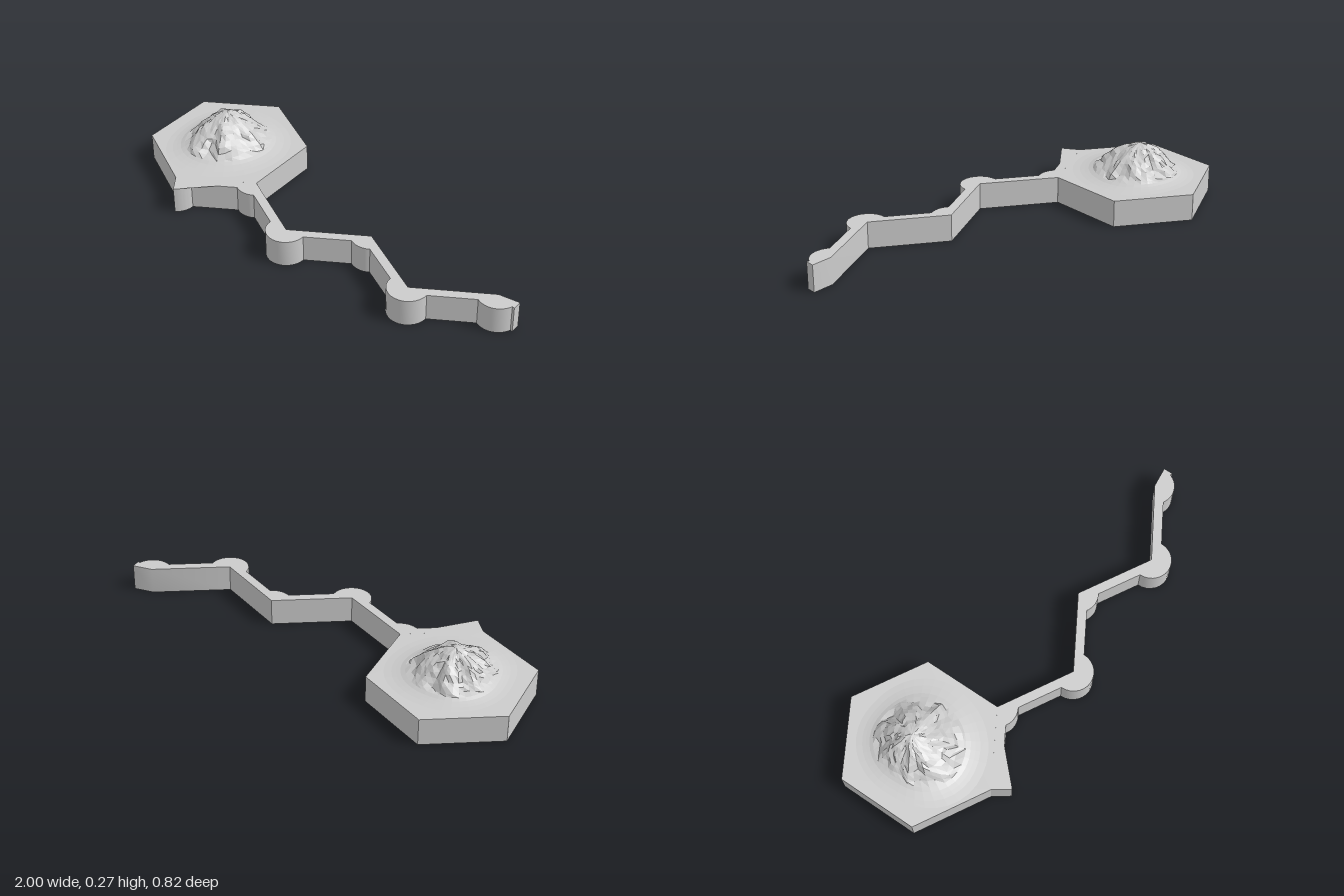
import * as THREE from 'three';
import { toCreasedNormals } from 'three/addons/utils/BufferGeometryUtils.js';

const H = 0.125; // height of tile and border

const material = (flat) => new THREE.MeshStandardMaterial({
  color: 0xcccccc, side: THREE.DoubleSide, flatShading: flat,
});

// Hollow slab: walls and top of an outline of [x, z] points, open underneath
function openSlab(name, outline) {
  const shape = new THREE.Shape(outline.map(([x, z]) => new THREE.Vector2(x, -z)));
  const solid = new THREE.ExtrudeGeometry(shape, { depth: H, bevelEnabled: false }).rotateX(-Math.PI / 2);
  const p = solid.attributes.position;
  const kept = [];
  for (let i = 0; i < p.count; i += 3) {
    const low = Math.max(p.getY(i), p.getY(i + 1), p.getY(i + 2)) < 0.001;
    if (!low) for (let k = i; k < i + 3; k++) kept.push(p.getX(k), p.getY(k), p.getZ(k));
  }
  const geo = new THREE.BufferGeometry();
  geo.setAttribute('position', new THREE.Float32BufferAttribute(kept, 3));
  geo.computeVertexNormals();
  const mesh = new THREE.Mesh(toCreasedNormals(geo, 0.5), material(false));
  mesh.name = name;
  return mesh;
}

function hexOutline(cx, cz, r) {
  return Array.from({ length: 6 }, (_, i) => {
    const a = (i + 0.5) * Math.PI / 3;
    return [cx + r * Math.cos(a), cz + r * Math.sin(a)];
  });
}

// Zigzag border: straight back edge, scalloped front edge with a round lobe at each corner
function borderOutline() {
  const r = 0.09, deg = Math.PI / 180;
  const corners = Array.from({ length: 6 }, (_, i) => [-0.682 + i * 0.3172, i % 2 ? 0.137 : 0.32]);
  const pts = [];
  corners.forEach(([x, z], i) => {
    let [from, to] = i % 2 ? [122, 58] : [182, -2];
    if (i === 0) from = 55;
    if (i === 5) to = 20;
    const n = 14;
    for (let k = 0; k <= n; k++) {
      const a = (from + (to - from) * k / n) * deg;
      pts.push([x + r * Math.cos(a), z + r * Math.sin(a)]);
    }
  });
  pts.push([1, 0.171], [1, 0.128]);
  return pts.concat(corners.reverse());
}

// Repeatable noise in -1..1
const noise = (i, j) => {
  const s = Math.sin(i * 127.1 + j * 311.7 + 4.2) * 43758.5453;
  return (s - Math.floor(s)) * 2 - 1;
};

// Height above the ground as a function of normalised distance from the peak
const profile = [[0, 0.27], [0.14, 0.263], [0.3, 0.246], [0.5, 0.217], [0.7, 0.175], [0.85, 0.147], [1, 0.134], [1.15, 0.128], [1.32, 0.1245]];
function heightAt(t) {
  let i = 1;
  while (i < profile.length - 1 && t > profile[i][0]) i++;
  const [[t0, y0], [t1, y1]] = [profile[i - 1], profile[i]];
  return y0 + (y1 - y0) * Math.min(1, (t - t0) / (t1 - t0));
}

// Craggy hill in polar rings; the rock is rough, the skirt around it smooth
function hill(px, pz) {
  const seg = 40, rings = 16;
  const pos = [px, 0.27, pz], idx = [];
  for (let j = 1; j <= rings; j++) {
    const t = 1.32 * j / rings;
    const rough = t < 0.9 ? Math.min(1, t * 2.5) : 0;
    for (let i = 0; i < seg; i++) {
      const a = i / seg * Math.PI * 2;
      const c = Math.cos(a), s = Math.sin(a);
      const reach = Math.hypot((c > 0 ? 0.235 : 0.185) * c, (s > 0 ? 0.25 : 0.195) * s);
      const ridge = 0.06 * Math.sin(a * 7 + 2 * t) + 0.04 * Math.sin(a * 12 + 1);
      const d = reach * t * (1 + rough * (ridge + 0.04 * noise(i, j)));
      const y = heightAt(t) + rough * (0.006 * noise(j, i >> 1) + 0.005 * Math.sin(a * 5 + t * 6));
      pos.push(px + d * c, y, pz + d * s);
      const n = (i + 1) % seg, inner = 1 + (j - 2) * seg, outer = 1 + (j - 1) * seg;
      if (j === 1) idx.push(0, outer + n, outer + i);
      else idx.push(inner + i, inner + n, outer + i, inner + n, outer + n, outer + i);
    }
  }
  const geo = new THREE.BufferGeometry();
  geo.setAttribute('position', new THREE.Float32BufferAttribute(pos, 3));
  geo.setIndex(idx);
  const flat = geo.toNonIndexed();
  flat.computeVertexNormals();
  const mesh = new THREE.Mesh(flat, material(true));
  mesh.name = 'rockyHill';
  return mesh;
}

export function createModel() {
  const model = new THREE.Group();
  model.name = 'terrainTileWithBorder';
  model.add(
    openSlab('hexTile', hexOutline(-0.682, -0.046, 0.366)),
    openSlab('zigzagBorder', borderOutline()),
    hill(-0.7, -0.065),
  );
  return model;
}
